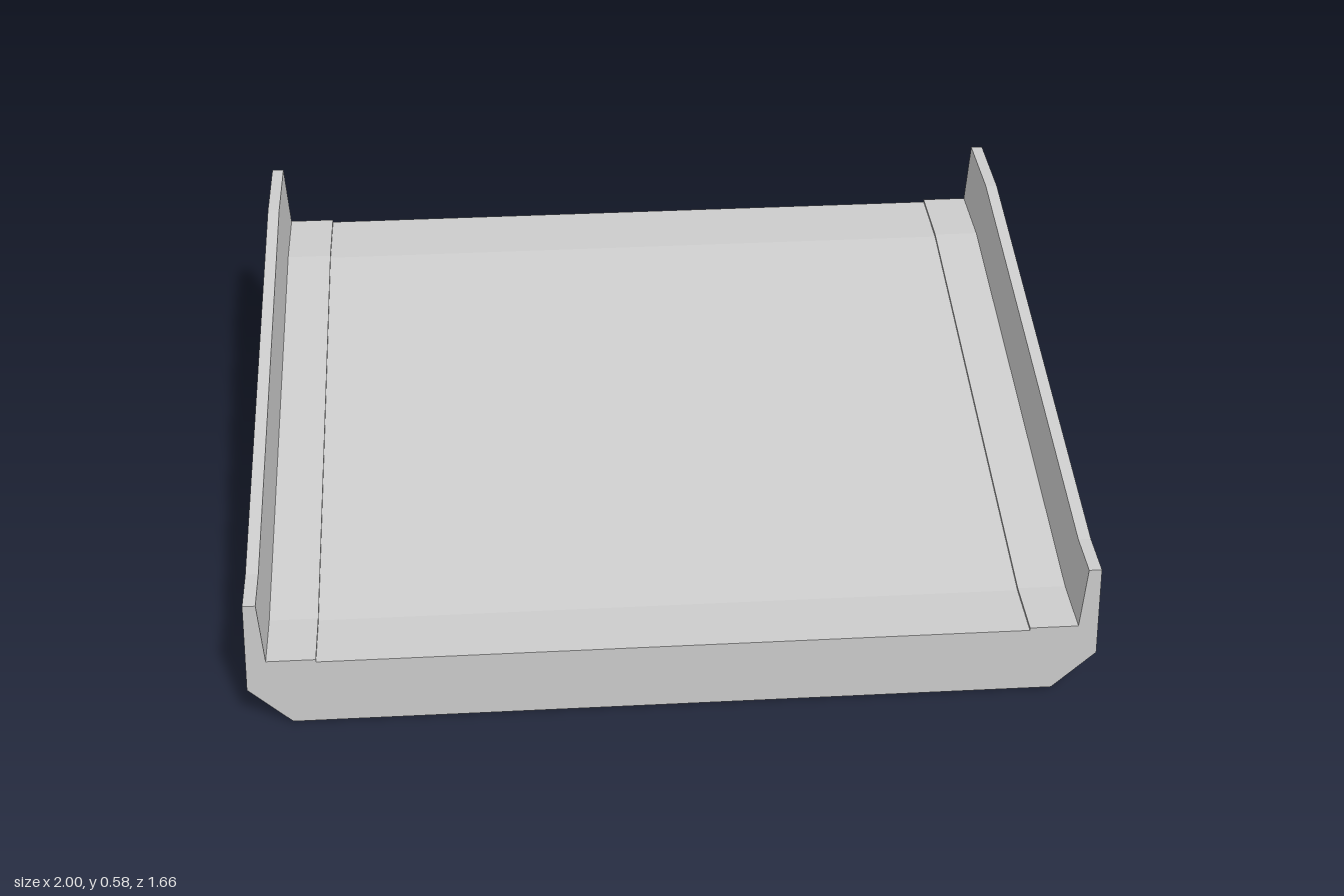
import * as THREE from 'three';

const HALF_DEPTH = 0.83;
const RISE = 0.234; // height gained from the front landing to the back landing

export function createModel() {
  const group = new THREE.Group();
  const material = new THREE.MeshStandardMaterial({ color: 0xcccccc, flatShading: true });

  // Right half of the cross-section: chamfered base, tapered side rail, raised ledge, floor
  const half = [
    [0.9, 0], [1, 0.1], [0.99, 0.345], [0.96, 0.345],
    [0.95, 0.182], [0.835, 0.182], [0.835, 0.175],
  ];
  const mirrored = half.map(([x, y]) => [-x, y]).reverse();
  const section = new THREE.Shape([...half, ...mirrored].map(([x, y]) => new THREE.Vector2(x, y)));

  // Three segments: front landing, slope, back landing
  const geometry = new THREE.ExtrudeGeometry(section, { depth: 3, steps: 3, bevelEnabled: false });

  // Move each ring to its station; the bends lean forward with height
  const stations = [
    { z: () => -HALF_DEPTH, lift: RISE },
    { z: (h) => -0.66 + 0.17 * h, lift: RISE },
    { z: (h) => 0.64 + 0.2 * h, lift: 0 },
    { z: () => HALF_DEPTH, lift: 0 },
  ];
  const pos = geometry.attributes.position;
  for (let i = 0; i < pos.count; i++) {
    const h = pos.getY(i);
    const station = stations[Math.round(pos.getZ(i))];
    pos.setY(i, h + station.lift);
    pos.setZ(i, station.z(h));
  }
  geometry.computeVertexNormals();

  const ramp = new THREE.Mesh(geometry, material);
  ramp.name = 'rampWithSideRails';
  group.add(ramp);
  return group;
}
